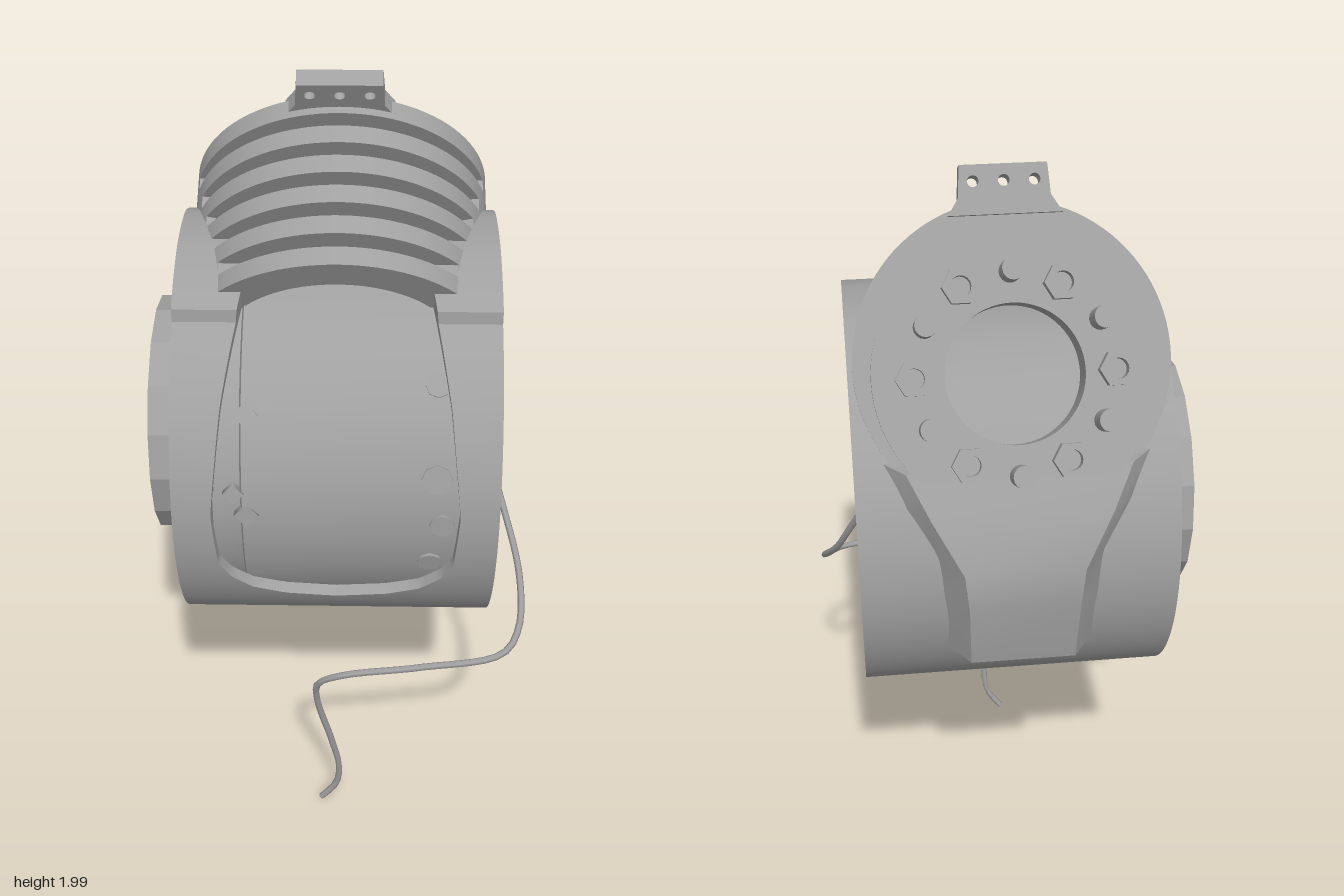
import * as THREE from 'three';
import { toCreasedNormals } from 'three/addons/utils/BufferGeometryUtils.js';

const grey = new THREE.MeshStandardMaterial({ color: 0xa0a0a0, side: THREE.DoubleSide });
grey.name = 'machined grey';
const rad = THREE.MathUtils.degToRad;
const CY = 1.105, CZ = 0.033, MX = -0.0125; // drum axis and middle plane
const RISE = 0.03; // finned body sits this far above the flange hole

function add(parent, name, geo, x = 0, y = 0, z = 0) {
  const m = new THREE.Mesh(geo, grey);
  m.name = name;
  m.position.set(x, y, z);
  parent.add(m);
  return m;
}

// Profile of [radius, x] pairs turned about the x axis
function turned(profile, segments, crease = 0.45) {
  const g = new THREE.LatheGeometry(profile.map(p => new THREE.Vector2(...p)), segments);
  return toCreasedNormals(g.rotateZ(-Math.PI / 2), crease);
}

const polygon = (r, sides, x = 0, y = 0) => Array.from({ length: sides }, (_, i) => {
  const t = i / sides * Math.PI * 2;
  return new THREE.Vector2(x + r * Math.cos(t), y + r * Math.sin(t));
});

// Ring shape with extra holes given as [pitch radius, angle, size, sides]
function disc(outer, inner, holes = [], cy = 0) {
  const s = new THREE.Shape().absarc(0, cy, outer, 0, Math.PI * 2);
  s.holes.push(new THREE.Path().absarc(0, 0, inner, 0, Math.PI * 2, true));
  for (const [r, a, size, sides] of holes)
    s.holes.push(new THREE.Path(polygon(size, sides, r * Math.cos(a), r * Math.sin(a)).reverse()));
  return s;
}

const extrude = (shape, depth) =>
  toCreasedNormals(new THREE.ExtrudeGeometry(shape, { depth, bevelEnabled: false, curveSegments: 48 }), 0.45);
// Slab lying across the neck axis, hanging down from its top height
const slab = (shape, top, depth) => extrude(shape, depth).rotateX(Math.PI / 2).translate(0, top, 0);
// Plate facing +x, its outer face at x
const sidePlate = (shape, x, depth) => extrude(shape, depth).rotateY(Math.PI / 2).translate(x - depth, 0, 0);

// Triangulated skin over equal-length closed loops of points
function loft(loops, caps = false) {
  const n = loops[0].length, pos = loops.flat(2), idx = [];
  for (let i = 0; i < loops.length - 1; i++)
    for (let j = 0; j < n; j++) {
      const a = i * n + j, b = i * n + (j + 1) % n;
      idx.push(a, b, a + n, b, b + n, a + n);
    }
  if (caps) for (let j = 1; j < n - 1; j++) {
    const e = (loops.length - 1) * n;
    idx.push(0, j + 1, j, e, e + j, e + j + 1);
  }
  const g = new THREE.BufferGeometry();
  g.setAttribute('position', new THREE.Float32BufferAttribute(pos, 3));
  g.setIndex(idx);
  return toCreasedNormals(g, 0.45);
}

// Value at an angle, interpolated from [angle, value] pairs
function lookUp(table, deg) {
  for (let i = 1; i < table.length; i++) {
    const [a, u] = table[i - 1], [b, v] = table[i];
    if (deg >= a && deg <= b) return u + (v - u) * (deg - a) / (b - a);
  }
  return 0;
}
// Half-width of the shell window, and height of the collar under the neck
const windowTable = [[-30, 0], [-28, 0.12], [-24, 0.2], [-18, 0.25], [-12, 0.277], [5, 0.288], [35, 0.262], [66, 0.22], [140, 0.2], [144, 0]];
const collarTable = [[58, 0], [60, 0.025], [80, 0.035], [100, 0.035], [130, 0]];

function buildDrum() {
  const g = new THREE.Group();
  g.name = 'drum';
  g.position.set(0, CY, CZ);
  // Outer shell in two halves either side of the window
  for (const [name, end, side] of [['shellRight', -0.39, -1], ['shellLeft', 0.365, 1]]) {
    const loops = [];
    for (let d = -90; d <= 270; d += 2) {
      const w = MX + side * lookUp(windowTable, d), R = 0.5 + lookUp(collarTable, d);
      const c = Math.cos(rad(d)), s = Math.sin(rad(d));
      loops.push([[end, R], [w, R], [w, 0.472], [end, 0.472]].map(([x, r]) => [x, r * s, r * c]));
    }
    add(g, name, loft(loops));
  }
  add(g, 'innerDrum', turned([[0.452, -0.3], [0.452, -0.235], [0.467, -0.23], [0.467, 0.32]], 48));

  // Lugs and screws seen through the window
  for (const [x, d, r] of [[-0.22, 33, 0.03], [-0.22, 3, 0.03], [-0.25, 10, 0.025], [0.22, 42, 0.03], [0.22, 15, 0.036], [0.235, 0, 0.03], [0.21, -15, 0.03]]) {
    const p = add(g, 'windowScrew', new THREE.CylinderGeometry(r, r, 0.03, x < 0 ? 4 : 8),
      x, 0.457 * Math.sin(rad(d)), 0.457 * Math.cos(rad(d)));
    p.rotation.x = rad(90 - d);
  }

  // Drilled outer ring around a deeper output face
  const outer = [], inner = [];
  for (let i = 0; i < 12; i++) {
    outer.push([0.424, rad(i * 30), 0.017, 8]);
    inner.push([0.232, rad(i * 30 + 3), i % 2 ? 0.02 : 0.035, i % 2 ? 10 : 6]);
  }
  outer.push([0.424, rad(-75), 0.022, 8], [0.424, rad(-105), 0.022, 8]);
  add(g, 'outerFace', sidePlate(disc(0.475, 0.357, outer), 0.363, 0.04));
  add(g, 'innerFace', sidePlate(disc(0.31, 0.15, inner), 0.305, 0.03));
  add(g, 'faceBacking', turned([[0.472, 0.32], [0.357, 0.32], [0.355, 0.29], [0.31, 0.29], [0.31, 0.272],
    [0.15, 0.272], [0.14, 0.29], [0.08, 0.29], [0.075, 0.23], [0, 0.23]], 48));
  for (let i = 0; i < 6; i++) {
    const a = rad(i * 60 + 3);
    add(g, 'faceScrew', new THREE.CylinderGeometry(0.022, 0.022, 0.025, 8).rotateZ(Math.PI / 2),
      0.28, 0.232 * Math.sin(a), -0.232 * Math.cos(a));
  }

  // Recessed input side with its projecting hub
  add(g, 'inputPlate', turned([[0, -0.24], [0.2, -0.24]], 16));
  add(g, 'inputHub', turned([[0.2, -0.24], [0.2, -0.455], [0.215, -0.468], [0.3, -0.468], [0.3, -0.35]], 16, 0.3));
  add(g, 'inputRing', turned([[0.3, -0.35], [0.39, -0.35], [0.4, -0.3], [0.475, -0.3]], 48));
  for (let i = 0; i < 12; i++) {
    const a = rad(i * 30 + 15);
    const lug = add(g, 'inputLug', new THREE.BoxGeometry(0.04, 0.06, 0.08), -0.315, 0.425 * Math.cos(a), 0.425 * Math.sin(a));
    lug.rotation.x = a;
  }
  for (let i = 0; i < 3; i++) {
    const a = rad(i * 120 + 30);
    const spoke = add(g, 'hubSpoke', new THREE.BoxGeometry(0.06, 0.2, 0.035), -0.39, 0.1 * Math.cos(a), 0.1 * Math.sin(a));
    spoke.rotation.x = a;
  }
  return g;
}

// Cross-section of the finned neck: an arch ending where it enters the drum,
// with its rim cut back above the height cut
function archShape(s, cut) {
  const R = 0.365, low = Math.sqrt(Math.max(0, 0.1936 - s * s)) - 0.253 - RISE;
  const a0 = Math.asin(Math.max(-0.9, low / R)), N = 64, pts = [];
  for (let i = 0; i <= N; i++) {
    const a = a0 + (Math.PI - 2 * a0) * i / N;
    const r = R * Math.sin(a) > cut ? 0.3 : R;
    pts.push(new THREE.Vector2(r * Math.cos(a), r * Math.sin(a) + RISE));
  }
  for (let i = N; i >= 0; i--) {
    const a = a0 + (Math.PI - 2 * a0) * i / N;
    pts.push(new THREE.Vector2(0.28 * Math.cos(a), 0.28 * Math.sin(a) + RISE));
  }
  return new THREE.Shape(pts);
}

function buildNeck() {
  const g = new THREE.Group();
  g.name = 'neck';
  g.position.set(MX, 1.595, -0.31);
  g.rotation.x = -Math.PI / 3;
  // Alternating fins and slots
  for (let k = 0; k < 5; k++) {
    const y = -0.495 + 0.082 * k;
    add(g, 'fin', slab(archShape(y + 0.542, 1), y + 0.047, 0.047));
    add(g, 'finSlot', slab(archShape(y + 0.584, 0.245 - 0.031 * k), y + 0.082, 0.035));
  }
  // Flange with mounting hole
  add(g, 'flangeBase', slab(disc(0.365, 0.16, [], RISE), -0.035, 0.05));
  add(g, 'flangePlate', slab(disc(0.325, 0.16), 0, 0.04));

  // Studs and nuts around the hole
  for (let i = 0; i < 6; i++) {
    const a = rad(30 + i * 60), b = rad(i * 60);
    add(g, 'stud', new THREE.CylinderGeometry(0.026, 0.026, 0.08, 16), 0.23 * Math.cos(a), 0.038, 0.23 * Math.sin(a));
    const hex = new THREE.Shape(polygon(0.043, 6));
    hex.holes.push(new THREE.Path(polygon(0.024, 16).reverse()));
    add(g, 'nut', slab(hex, 0.032, 0.034), 0.23 * Math.cos(b), 0, 0.23 * Math.sin(b));
  }

  // Drilled tab at the top of the flange
  const tab = new THREE.Shape([[-0.13, 0.36], [0.13, 0.36], [0.105, 0.4], [0.1, 0.472], [-0.1, 0.472], [-0.105, 0.4]]
    .map(p => new THREE.Vector2(...p)));
  for (const x of [-0.07, 0, 0.07])
    tab.holes.push(new THREE.Path().absarc(x, 0.435, 0.013, 0, Math.PI * 2, true));
  add(g, 'tab', slab(tab, -0.022, 0.045));
  return g;
}

export function createModel() {
  const model = new THREE.Group();
  model.name = 'robotJoint';
  model.add(buildDrum(), buildNeck());

  // Flared pad behind the drum: height, depth, half-width, its base sunk in the shell
  const pad = [[0.93, -0.51, 0.125], [1.1, -0.535, 0.13], [1.2, -0.532, 0.14], [1.32, -0.475, 0.21], [1.41, -0.415, 0.26]]
    .map(([y, z, w]) => {
      const base = CZ - Math.sqrt(0.2401 - (y - CY) ** 2);
      return [[-w, y, z], [w, y, z], [w + 0.06, y, base], [-w - 0.06, y, base]].map(([x, py, pz]) => [x + MX, py, pz]);
    });
  add(model, 'backPad', loft(pad, true));

  // Loose cable from the output face
  const path = new THREE.CatmullRomCurve3([[0.22, 1.1, 0.02], [0.34, 1.05, 0], [0.375, 0.98, 0.035], [0.42, 0.86, 0.11],
    [0.46, 0.74, 0.245], [0.455, 0.66, 0.36], [0.41, 0.633, 0.43], [0.2, 0.625, 0.475], [0.01, 0.605, 0.485],
    [-0.06, 0.55, 0.46], [-0.065, 0.465, 0.435], [-0.03, 0.28, 0.4], [-0.01, 0.15, 0.38], [-0.02, 0.07, 0.37],
    [-0.06, 0.01, 0.365]].map(p => new THREE.Vector3(...p)));
  add(model, 'cable', new THREE.TubeGeometry(path, 60, 0.009, 6));
  return model;
}
